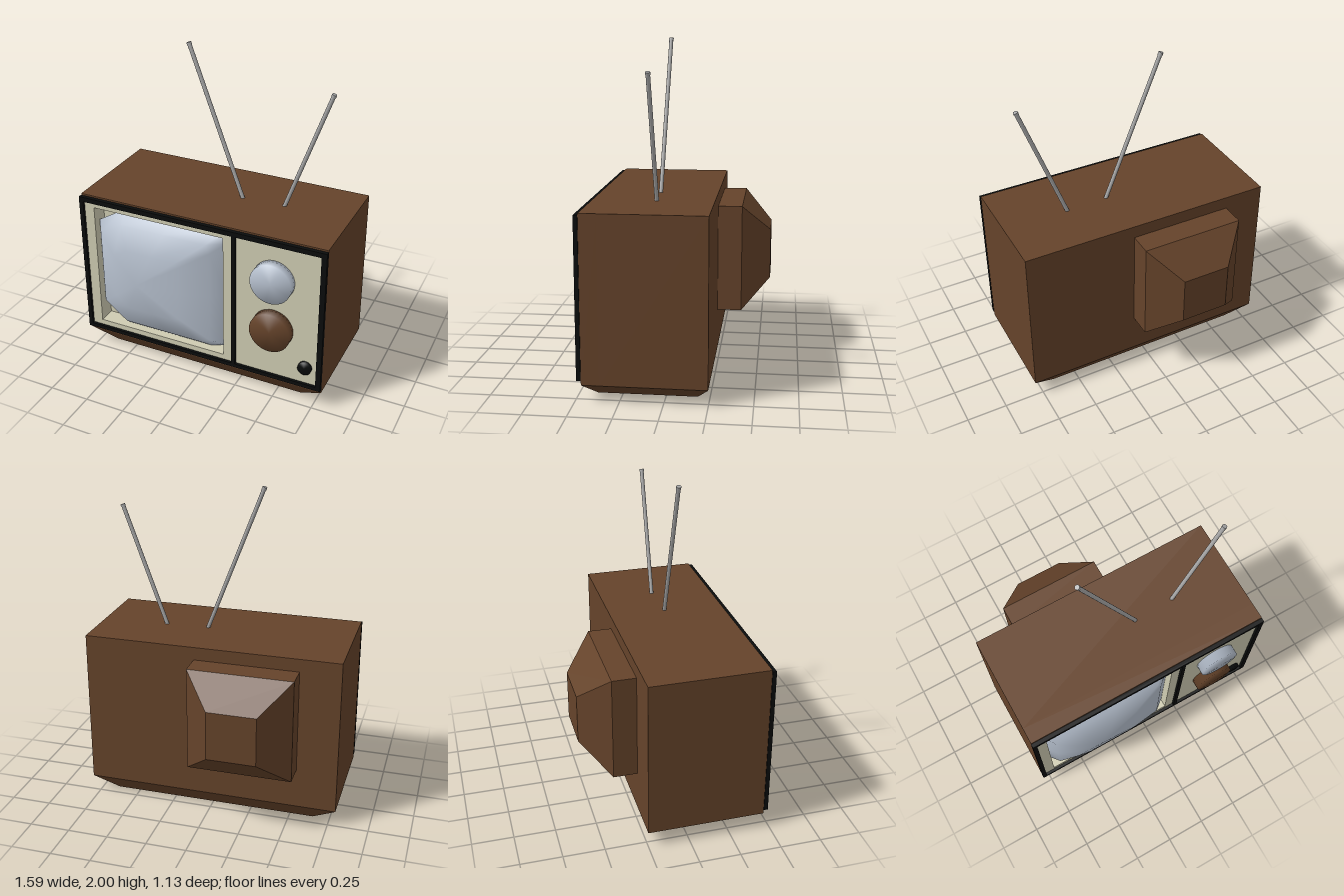
import * as THREE from 'three';
import { mergeVertices } from 'three/addons/utils/BufferGeometryUtils.js';

const paint = (color, extra = {}) => {
  const m = new THREE.MeshStandardMaterial(extra);
  m.color.set(color);
  return m;
};

const rectPoints = (x0, x1, y0, y1) =>
  [[x0, y0], [x1, y0], [x1, y1], [x0, y1]].map(([x, y]) => new THREE.Vector2(x, y));

// Rectangular panel with rectangular holes, from z0 to z1
function panel(outer, holes, z0, z1) {
  const shape = new THREE.Shape(rectPoints(...outer));
  for (const h of holes) shape.holes.push(new THREE.Path(rectPoints(...h).reverse()));
  return new THREE.ExtrudeGeometry(shape, { depth: z1 - z0, bevelEnabled: false }).translate(0, 0, z0);
}

// Box whose two ends along one axis (0 x, 1 y, 2 z) may differ in size
function taperedBox(axis, lowMin, lowMax, highMin, highMax) {
  const geo = new THREE.BoxGeometry(1, 1, 1);
  const pos = geo.attributes.position;
  const { lerp } = THREE.MathUtils;
  for (let i = 0; i < pos.count; i++) {
    const p = [0, 1, 2].map(k => pos.getComponent(i, k) + 0.5);
    const t = p[axis];
    p.forEach((v, k) => pos.setComponent(i, k,
      lerp(lerp(lowMin[k], highMin[k], t), lerp(lowMax[k], highMax[k], t), v)));
  }
  geo.computeVertexNormals();
  return geo;
}

// Share all vertices so that the shading runs softly over the edges
function soften(geo) {
  geo.deleteAttribute('normal');
  geo.deleteAttribute('uv');
  const merged = mergeVertices(geo, 1e-4);
  merged.computeVertexNormals();
  return merged;
}

// Bulging glass: shrinking copies of the outline, closing on an off-centre peak
function glass() {
  const outline = [
    [0.16, 0.59], [0.16, 0.94], [0.13, 1.005], [-0.2, 1.005], [-0.53, 1.005], [-0.705, 0.9],
    [-0.705, 0.59], [-0.705, 0.32], [-0.53, 0.185], [-0.2, 0.185], [0.05, 0.185], [0.16, 0.22],
  ];
  const rings = [[1, 0.42], [0.85, 0.49], [0.5, 0.537]];
  const cx = -0.38, cy = 0.59, n = outline.length;
  const verts = [], index = [];
  for (const [s, z] of rings)
    for (const [x, y] of outline) verts.push(cx + (x - cx) * s, cy + (y - cy) * s, z);
  verts.push(cx, cy, 0.565);
  const peak = rings.length * n;
  for (let r = 0; r < rings.length; r++)
    for (let i = 0; i < n; i++) {
      const a = r * n + i, b = r * n + (i + 1) % n;
      if (r === rings.length - 1) index.push(a, b, peak);
      else index.push(a, b, b + n, a, b + n, a + n);
    }
  const geo = new THREE.BufferGeometry();
  geo.setAttribute('position', new THREE.Float32BufferAttribute(verts, 3));
  geo.setIndex(index);
  geo.computeVertexNormals();
  return geo;
}

export function createModel() {
  const group = new THREE.Group();
  const wood = paint(0x65432a);
  const cream = paint(0xcfccb2);
  const black = paint(0x0a0c0c);
  const silver = paint(0xb8c2d0);
  const screenGlass = paint(0xb8c2d0, { side: THREE.DoubleSide });
  const metal = paint(0xa8a8a8);

  const add = (name, geo, mat, parent = group) => {
    const mesh = new THREE.Mesh(geo, mat);
    mesh.name = name;
    parent.add(mesh);
    return mesh;
  };

  // Cabinet: solid rear, hollow front rim and tapered foot
  const cabinet = new THREE.Group();
  cabinet.name = 'cabinet';
  group.add(cabinet);
  const face = [-0.78, 0.78, 0.13, 1.06];
  const opening = [-0.705, 0.16, 0.185, 1.005];
  add('cabinetRear', taperedBox(2, [-0.795, 0.1, -0.25], [0.795, 1.08, -0.25],
    [-0.795, 0.1, 0.36], [0.795, 1.08, 0.36]), wood, cabinet);
  add('cabinetRim', panel([-0.795, 0.795, 0.1, 1.08], [face], 0.36, 0.463), wood, cabinet);
  add('foot', taperedBox(1, [-0.645, 0, -0.18], [0.645, 0, 0.395],
    [-0.795, 0.1, -0.25], [0.795, 0.1, 0.463]), wood, cabinet);

  // Picture tube housing on the back
  add('tubeHousing', taperedBox(2, [-0.545, 0.35, -0.395], [0.1, 1.0, -0.395],
    [-0.545, 0.35, -0.25], [0.1, 1.0, -0.25]), wood);
  add('tubeHousingEnd', taperedBox(2, [-0.37, 0.52, -0.567], [-0.07, 0.825, -0.567],
    [-0.545, 0.35, -0.395], [0.1, 1.0, -0.395]), wood);

  // Front panel with the recess behind the screen
  add('frontPanel', panel(face, [opening], 0.362, 0.472), cream);
  add('recessBack', panel(opening, [], 0.355, 0.366), cream);
  add('screen', glass(), screenGlass);
  add('trim', panel([-0.797, 0.797, 0.125, 1.07],
    [[-0.77, 0.22, 0.15, 1.04], [0.245, 0.765, 0.15, 1.04]], 0.464, 0.489), black);

  // Knobs and button
  const knob = (name, x, y, r, z1, mat) => {
    const geo = new THREE.CylinderGeometry(r, r, z1 - 0.47, 32).rotateX(Math.PI / 2);
    add(name, soften(geo), mat).position.set(x, y, (z1 + 0.47) / 2);
  };
  knob('channelKnob', 0.483, 0.813, 0.127, 0.533, silver);
  knob('volumeKnob', 0.483, 0.48, 0.127, 0.533, wood);
  knob('powerButton', 0.693, 0.264, 0.042, 0.494, black);

  // Aerial rods with small tips
  const rod = (name, from, to, r, mat) => {
    const a = new THREE.Vector3(...from), b = new THREE.Vector3(...to);
    const dir = b.clone().sub(a);
    const mesh = add(name, new THREE.CylinderGeometry(r, r, dir.length(), 12), mat);
    mesh.position.copy(a).lerp(b, 0.5);
    mesh.quaternion.setFromUnitVectors(new THREE.Vector3(0, 1, 0), dir.normalize());
  };
  const aerials = [
    ['rightAerial', [0.122, 1.06, 0.098], [-0.241, 1.995, 0.075]],
    ['leftAerial', [0.375, 1.06, 0.086], [0.657, 1.83, 0.095]],
  ];
  for (const [name, from, to] of aerials) {
    rod(name, from, to, 0.0125, metal);
    const neck = to.map((v, k) => v + (from[k] - v) * 0.02);
    rod(name + 'Tip', neck, to, 0.0145, metal);
  }

  return group;
}
